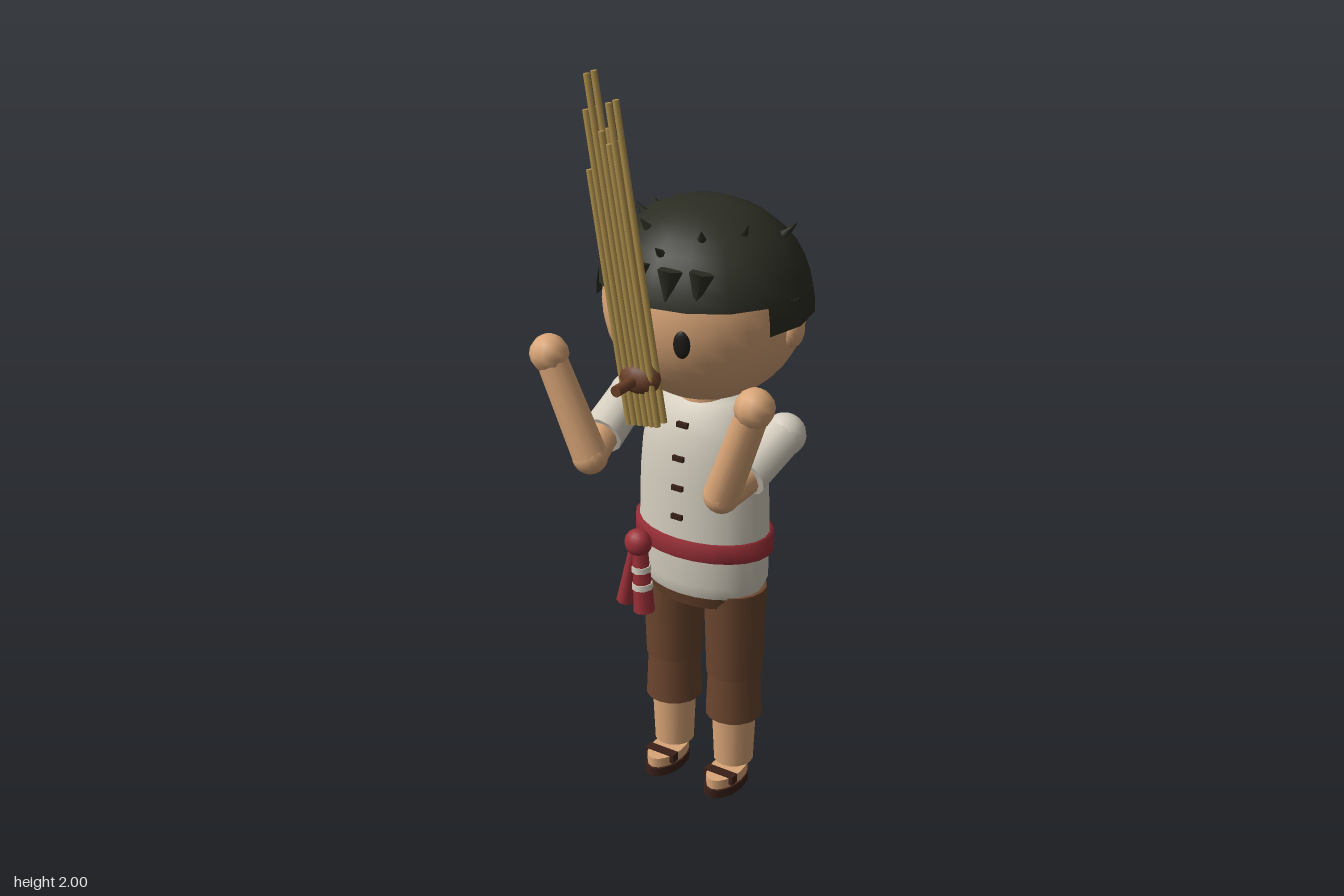
import * as THREE from 'three';

const mat = (name, color, double = false) => {
  const m = new THREE.MeshStandardMaterial({ color });
  m.name = name;
  if (double) m.side = THREE.DoubleSide;
  return m;
};

export function createModel() {
  const skin = mat('skin', 0xd9a577);
  const hairMat = mat('hair', 0x2b2c22, true);
  const cloth = mat('cream cloth', 0xd6cfc0, true);
  const brown = mat('brown trousers', 0x6b452e);
  const red = mat('red sash', 0x9c3038, true);
  const dark = mat('dark leather', 0x3a2019);
  const eyeMat = mat('eye', 0x1d1a17);
  const bamboo = mat('bamboo', 0xab8c4a);
  const wood = mat('wood', 0x6a3f28);

  const model = new THREE.Group();
  const V = (x, y, z) => new THREE.Vector3(x, y, z);
  const UP = V(0, 1, 0);
  const Z = -0.058; // depth of the body axis

  const add = (name, geo, material, x = 0, y = 0, z = 0, parent = model) => {
    const m = new THREE.Mesh(geo, material);
    m.name = name;
    m.position.set(x, y, z);
    parent.add(m);
    return m;
  };
  const ball = (name, material, x, y, z, rx, ry = rx, rz = rx, w = 16, h = 12) =>
    add(name, new THREE.SphereGeometry(1, w, h).scale(rx, ry, rz), material, x, y, z);
  // tapered round bar between two points
  const bar = (name, material, a, b, ra, rb, sides = 12) => {
    const d = b.clone().sub(a);
    const m = add(name, new THREE.CylinderGeometry(rb, ra, d.length(), sides), material);
    m.position.copy(a).addScaledVector(d, 0.5);
    m.quaternion.setFromUnitVectors(UP, d.normalize());
    return m;
  };
  const lathe = (pts, sides = 24) =>
    new THREE.LatheGeometry(pts.map(p => new THREE.Vector2(...p)), sides);

  // head, ears, eyes
  const HY = 1.372;
  ball('head', skin, 0, HY, Z, 0.257, 0.252, 0.249, 32, 20);
  for (const s of [-1, 1]) {
    ball('ear', skin, s * 0.252, 1.338, -0.065, 0.022, 0.042, 0.036);
    const eye = ball('eye', eyeMat, s * 0.086, 1.346, 0.175, 0.021, 0.035, 0.009);
    eye.rotation.y = s * 0.34;
  }

  // hair: full cap, band round the sides and back, patch at the nape
  const hairR = V(0.277, 0.258, 0.262);
  const hairPart = (name, phi, span, t0, t1, w, h) =>
    add(name, new THREE.SphereGeometry(1, w, h, phi, span, t0, t1 - t0)
      .scale(hairR.x, hairR.y, hairR.z), hairMat, 0, HY, Z);
  const theta = y => Math.acos((y - HY) / hairR.y);
  hairPart('hairCap', 0, Math.PI * 2, 0, theta(1.43), 16, 8);
  hairPart('hairSides', Math.PI - 0.42, Math.PI + 0.84, theta(1.43), theta(1.36), 10, 2);
  hairPart('hairNape', Math.PI * 1.5 - 0.82, 1.64, theta(1.36), theta(1.292), 6, 2);

  // small tufts standing out of the hair, given by their place seen from above
  const tuft = (x, z) => {
    const u = x / hairR.x, w = (z - Z) / hairR.z;
    const p = V(x, hairR.y * Math.sqrt(Math.max(0, 1 - u * u - w * w)), z - Z);
    const n = V(p.x, p.y, p.z).normalize();
    const m = add('hairTuft', new THREE.ConeGeometry(0.015, 0.045, 6), hairMat);
    m.position.set(p.x, p.y + HY, p.z + Z).addScaledVector(n, 0.01);
    m.quaternion.setFromUnitVectors(UP, n);
  };
  [[0, -0.316], [0, -0.285], [0, 0.135]].forEach(p => tuft(...p));
  for (const s of [-1, 1])
    [[0.095, -0.292], [0.125, -0.24], [0.183, -0.125], [0.145, -0.003], [0.078, 0.077]]
      .forEach(([x, z]) => tuft(s * x, z));
  // fringe locks pointing down
  for (const x of [-0.122, -0.045, 0.045, 0.115]) {
    const lock = add('fringeLock', new THREE.ConeGeometry(0.032, 0.085, 5), hairMat,
      x, 1.482, 0.178 - x * x * 2.2);
    lock.rotation.set(Math.PI - 0.2, 0, x * 0.8);
  }

  // shirt, neck, buttons
  const flat = 0.69;
  add('neck', new THREE.CylinderGeometry(0.06, 0.07, 0.08, 16), skin, 0, 1.13, Z);
  add('shirt', lathe([[0.165, 0.592], [0.181, 0.63], [0.183, 0.75], [0.179, 0.9], [0.172, 0.98],
    [0.157, 1.04], [0.13, 1.09], [0.1, 1.115], [0.055, 1.125]]).scale(1, 1, flat), cloth, 0, 0, Z);
  [[1.065, 0.043], [0.98, 0.062], [0.9, 0.067], [0.82, 0.069]].forEach(([y, z]) =>
    add('button', new THREE.BoxGeometry(0.032, 0.013, 0.012), dark, 0, y, z));

  // sash, knot and hanging tails
  add('sash', lathe([[0.176, 0.708], [0.195, 0.708], [0.195, 0.758], [0.176, 0.758]])
    .scale(1, 1, flat), red, 0, 0, Z);
  ball('sashKnot', red, -0.097, 0.733, 0.103, 0.037, 0.037, 0.032);
  bar('sashTail', red, V(-0.108, 0.72, 0.103), V(-0.14, 0.552, 0.103), 0.014, 0.024, 8);
  const t0 = V(-0.092, 0.72, 0.103), t1 = V(-0.08, 0.54, 0.103);
  bar('sashTail', red, t0, t1, 0.02, 0.028, 8);
  for (const k of [0.28, 0.55])
    bar('tailStripe', cloth, t0.clone().lerp(t1, k), t0.clone().lerp(t1, k + 0.09),
      0.023 + k * 0.008, 0.0235 + k * 0.008, 8);

  // trousers
  add('hips', new THREE.CylinderGeometry(0.175, 0.15, 0.06, 24).scale(1, 1, flat), brown, 0, 0.588, Z);

  for (const s of [-1, 1]) {
    const x = s * 0.095;
    // legs
    add('thigh', new THREE.CylinderGeometry(0.083, 0.075, 0.255, 16), brown, x, 0.47, Z);
    add('trouserCuff', new THREE.CylinderGeometry(0.07, 0.076, 0.135, 16), brown, x, 0.281, Z);
    add('shin', new THREE.CylinderGeometry(0.06, 0.053, 0.16, 16), skin, x, 0.148, Z);
    // sandals
    add('foot', new THREE.CylinderGeometry(0.043, 0.043, 0.028, 16).scale(1, 1, 1.85),
      skin, x, 0.037, -0.027);
    add('sandalSole', new THREE.CylinderGeometry(0.048, 0.048, 0.024, 12).scale(1, 1, 1.75),
      dark, x, 0.012, -0.023);
    add('sandalStrap', new THREE.BoxGeometry(0.09, 0.024, 0.026), dark, x, 0.043, 0.006);

    // arms, bent up at the elbow
    const shoulder = V(s * 0.231, 1.057, -0.064);
    const cuff = V(s * 0.215, 1.0, 0.092);
    const elbow = V(s * 0.196, 0.977, 0.167);
    const hand = V(s * 0.299, 1.24, 0.188);
    ball('shoulder', cloth, ...shoulder, 0.055);
    bar('sleeve', cloth, shoulder, cuff, 0.053, 0.056);
    bar('upperArm', skin, cuff, elbow, 0.045, 0.044);
    ball('elbow', skin, ...elbow, 0.046);
    bar('forearm', skin, elbow, hand, 0.046, 0.04);
    ball('hand', skin, ...hand, 0.05, 0.05, 0.05, 10, 8);
  }

  // mouth organ: two rows of bamboo pipes through a wooden wind chest
  const organ = new THREE.Group();
  organ.name = 'mouthOrgan';
  organ.position.set(0.02, 1.275, 0.255);
  organ.rotation.z = 0.164;
  model.add(organ);
  const pipes = [[-0.042, 0.51], [-0.026, 0.65], [-0.008, 0.733], [0.009, 0.6], [0.026, 0.57], [0.041, 0.665]];
  for (const z of [-0.014, 0.014])
    for (const [x, top] of pipes)
      add('pipe', new THREE.CylinderGeometry(0.008, 0.008, top + 0.115, 8), bamboo,
        x, (top - 0.115) / 2, z, organ);
  ball('windChest', wood, 0.02, 1.276, 0.255, 0.057, 0.041, 0.037, 12, 8);
  bar('mouthpiece', wood, V(0.02, 1.276, 0.27), V(0.02, 1.276, 0.355), 0.014, 0.014);

  return model;
}
